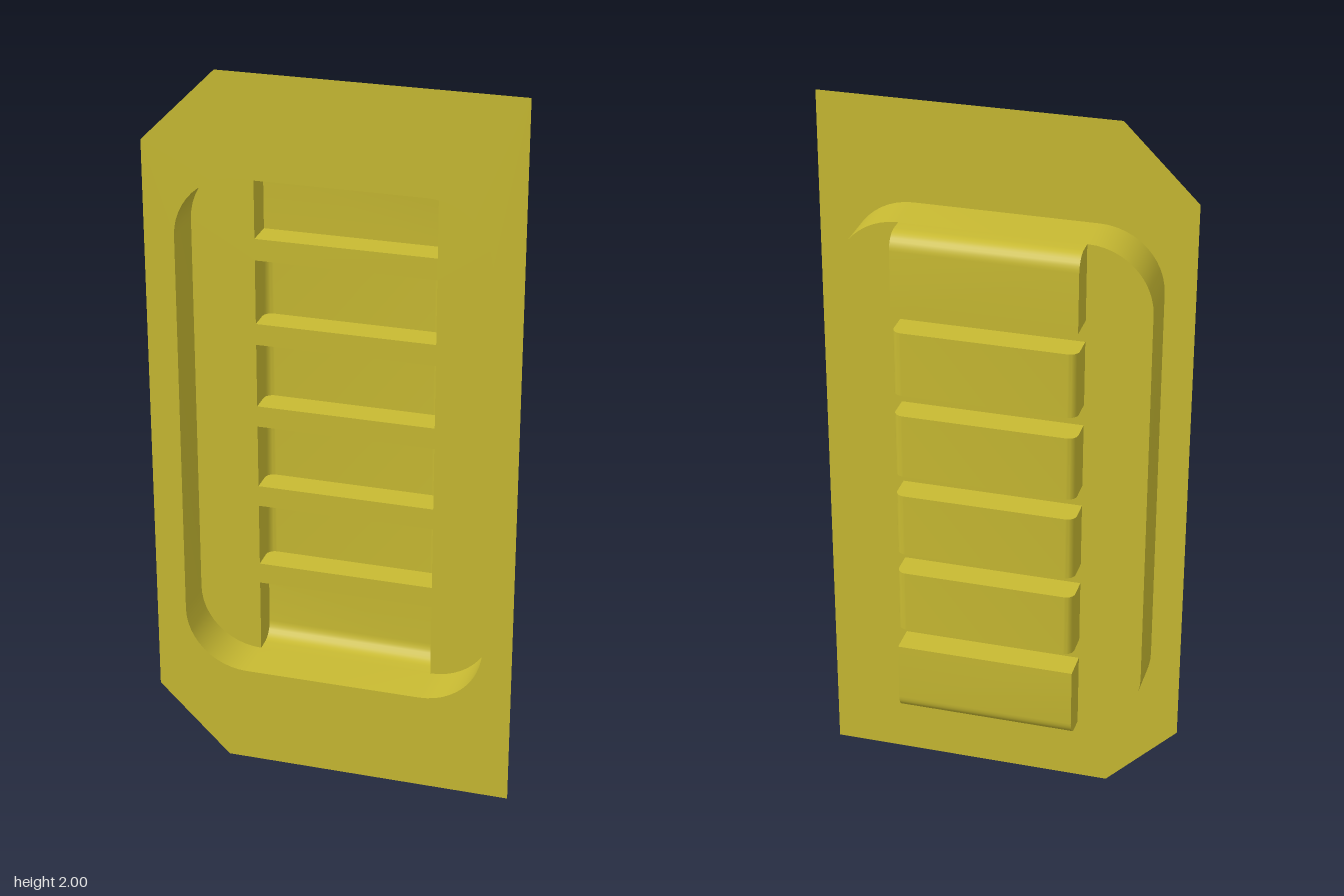
import * as THREE from 'three';
import { toCreasedNormals } from 'three/addons/utils/BufferGeometryUtils.js';

const FRONT = 0.105, FLOOR = -0.025, BACK = -0.105; // sheet levels along z
const W = 0.418, Y0 = 0.28, Y1 = 1.72, R = 0.172;   // tray outline
const PW = 0.245;                                   // half width of the pockets
const V = (x, y) => new THREE.Vector2(x, y);

// points of a quarter circle
function arc(cx, cy, r, start, sweep = Math.PI / 2, n = 8) {
  return Array.from({ length: n + 1 }, (_, i) => {
    const a = start + sweep * i / n;
    return V(cx + r * Math.cos(a), cy + r * Math.sin(a));
  });
}

// wall that sweeps a polyline from z0 to z1
function ribbon(points, z0, z1) {
  const pos = [], index = [];
  points.forEach((p, i) => {
    pos.push(p.x, p.y, z0, p.x, p.y, z1);
    if (i) {
      const b = 2 * i;
      index.push(b - 2, b, b - 1, b, b + 1, b - 1);
    }
  });
  const g = new THREE.BufferGeometry();
  g.setAttribute('position', new THREE.Float32BufferAttribute(pos, 3));
  g.setIndex(index);
  return toCreasedNormals(g, 0.6);
}

export function createModel() {
  const group = new THREE.Group();
  const material = new THREE.MeshStandardMaterial({ color: 0xc8ba32, side: THREE.DoubleSide });
  const add = (name, geometry, parent = group) => {
    const mesh = new THREE.Mesh(geometry, material);
    mesh.name = name;
    parent.add(mesh);
    return mesh;
  };

  // rounded tray outline, anticlockwise from the lower right
  const q = Math.PI / 2;
  const outline = [
    ...arc(W - R, Y0 + R, R, -q, q, 12), ...arc(W - R, Y1 - R, R, 0, q, 12),
    ...arc(R - W, Y1 - R, R, q, q, 12), ...arc(R - W, Y0 + R, R, 2 * q, q, 12),
  ];

  // flat plate with two clipped corners and the tray opening
  const plate = new THREE.Shape([V(0.5, 0), V(0.5, 2), V(-0.3, 2), V(-0.5, 1.8), V(-0.5, 0.2), V(-0.3, 0)]);
  plate.holes.push(new THREE.Path(outline));
  add('facePlate', new THREE.ShapeGeometry(plate).translate(0, 0, FRONT));

  // tray side wall
  add('trayWall', ribbon([...outline, outline[0]], FLOOR, FRONT));

  // tray floor, notched at both ends and pierced for the middle pockets
  const endH = 0.21, midH = 0.18, pitch = 0.24;
  const floor = new THREE.Shape([
    ...outline.slice(0, 26), V(PW, Y1), V(PW, Y1 - endH), V(-PW, Y1 - endH), V(-PW, Y1),
    ...outline.slice(26), V(-PW, Y0), V(-PW, Y0 + endH), V(PW, Y0 + endH), V(PW, Y0),
  ]);
  const middles = [-1.5, -0.5, 0.5, 1.5].map(k => 1 + k * pitch);
  for (const y of middles) {
    floor.holes.push(new THREE.Path([
      V(-PW, y - midH / 2), V(PW, y - midH / 2), V(PW, y + midH / 2), V(-PW, y + midH / 2),
    ]));
  }
  add('trayFloor', new THREE.ShapeGeometry(floor).translate(0, 0, FLOOR));

  // open pocket: swept profile closed at its two ends, then turned into place
  function pocket(name, profile, half, matrix) {
    const g = new THREE.Group();
    g.name = name;
    add(name + 'Shell', ribbon(profile, -half, half).applyMatrix4(matrix), g);
    for (const s of [-1, 1]) {
      const cap = new THREE.ShapeGeometry(new THREE.Shape(profile)).translate(0, 0, s * half);
      add(name + 'End', cap.applyMatrix4(matrix), g);
    }
    group.add(g);
  }

  // middle pockets, rounded along their left and right edges
  const r = 0.025;
  const midProfile = [
    V(-PW, FLOOR), ...arc(r - PW, BACK + r, r, 2 * q), ...arc(PW - r, BACK + r, r, 3 * q), V(PW, FLOOR),
  ];
  for (const y of middles) {
    pocket('middlePocket', midProfile, midH / 2,
      new THREE.Matrix4().makeTranslation(0, y, 0).multiply(new THREE.Matrix4().makeRotationX(q)));
  }

  // end pockets, rounded along their outer edge and flush with the tray wall
  const re = 0.045;
  const turn = new THREE.Matrix4().makeBasis(
    new THREE.Vector3(0, 1, 0), new THREE.Vector3(0, 0, 1), new THREE.Vector3(1, 0, 0));
  const lower = [V(Y0, FLOOR), ...arc(Y0 + re, BACK + re, re, 2 * q), V(Y0 + endH, BACK), V(Y0 + endH, FLOOR)];
  const upper = lower.map(p => V(2 - p.x, p.y)).reverse();
  pocket('lowerPocket', lower, PW, turn);
  pocket('upperPocket', upper, PW, turn);

  return group;
}
